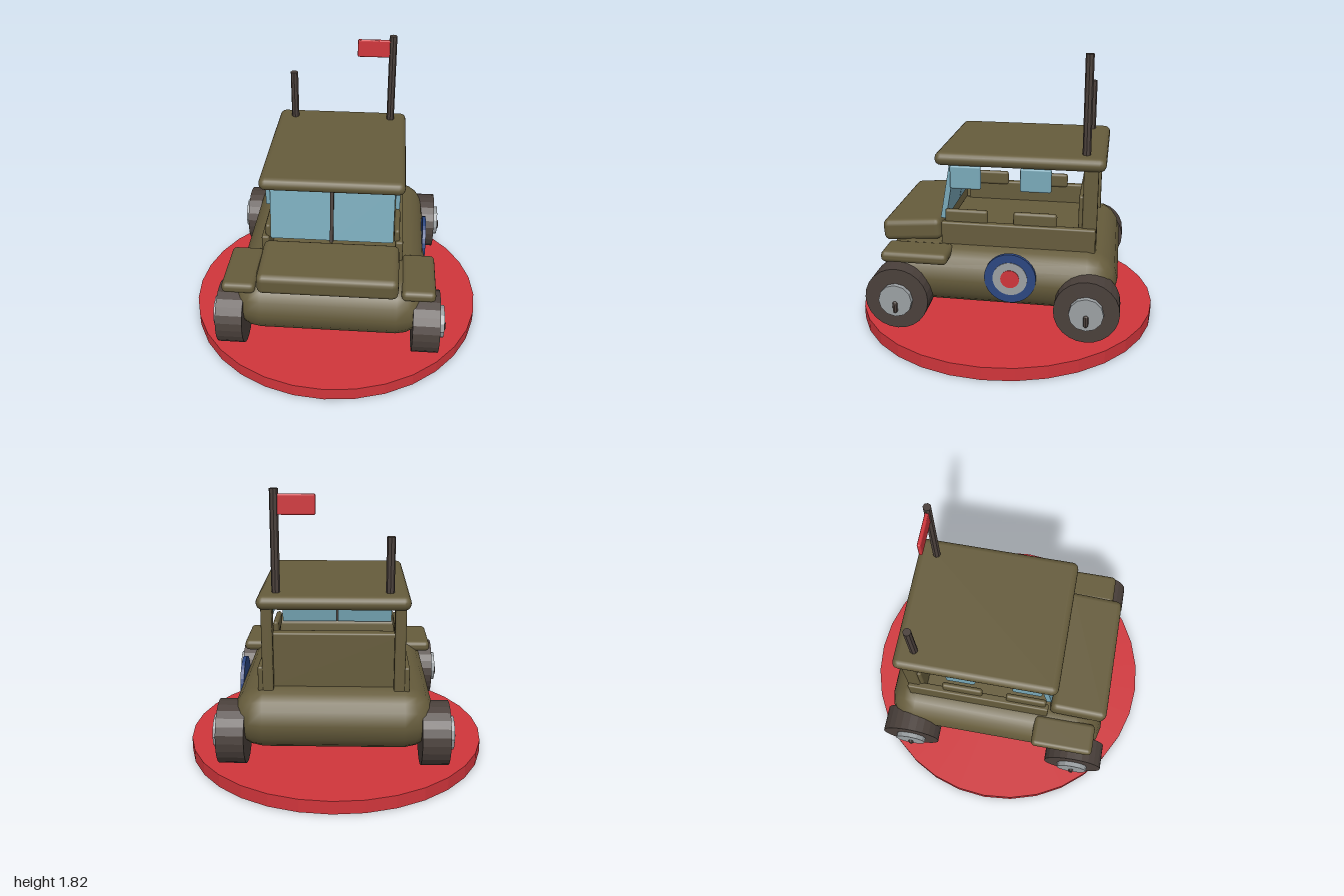
import * as THREE from 'three';
import { RoundedBoxGeometry } from 'three/addons/geometries/RoundedBoxGeometry.js';

const mat = (name, color, opts = {}) => {
  const m = new THREE.MeshStandardMaterial({ color, ...opts });
  m.name = name;
  return m;
};

export function createModel() {
  const model = new THREE.Group();
  model.name = 'toyTruck';
  const olive = mat('olive', 0x665c3c);
  const red = mat('red', 0xd0353b, { flatShading: true });
  const glass = mat('glassBlue', 0x79a9b9);
  const grey = mat('grey', 0x9ba0a3, { flatShading: true });
  const dark = mat('darkBrown', 0x4a403b, { flatShading: true });
  const navy = mat('navy', 0x2b4680, { flatShading: true });

  const add = (name, geometry, material, x, y, z, parent = model) => {
    const mesh = new THREE.Mesh(geometry, material);
    mesh.name = name;
    mesh.position.set(x, y, z);
    parent.add(mesh);
    return mesh;
  };
  // Rounded block given by its extents
  const block = (name, material, [x0, x1], [y0, y1], [z0, z1], r = 0.012, seg = 2) =>
    add(name, new RoundedBoxGeometry(x1 - x0, y1 - y0, z1 - z0, seg, r), material,
      (x0 + x1) / 2, (y0 + y1) / 2, (z0 + z1) / 2);
  // Cylinder lying along x
  const disc = (r, width, sides) => new THREE.CylinderGeometry(r, r, width, sides).rotateZ(Math.PI / 2);

  // Display base
  add('base', new THREE.CylinderGeometry(1, 1, 0.085, 32), red, 0, 0.0425, 0);

  // Body, bonnet, roof and rear panel
  block('body', olive, [-0.62, 0.62], [0.24, 0.625], [-0.76, 0.745], 0.19, 2);
  const bonnet = block('bonnet', olive, [-0.437, 0.437], [0.61, 0.752], [0.365, 0.75], 0.04);
  bonnet.rotation.x = 0.08;
  block('roof', olive, [-0.457, 0.457], [1.125, 1.21], [-0.665, 0.395], 0.042);
  block('rearPanel', olive, [-0.42, 0.42], [0.6, 0.965], [-0.575, -0.505]);

  // Parts repeated on both sides
  for (const s of [-1, 1]) {
    const side = (a, b) => (s > 0 ? [a, b] : [-b, -a]);
    block('sideWall', olive, side(0.41, 0.46), [0.6, 0.762], [-0.615, 0.355]);
    block('rearPost', olive, side(0.365, 0.432), [0.6, 1.15], [-0.62, -0.53]);
    block('frontArmrest', olive, side(0.4, 0.437), [0.74, 0.84], [0.06, 0.335], 0.018);
    block('rearArmrest', olive, side(0.4, 0.437), [0.74, 0.84], [-0.375, -0.1], 0.018);
    block('frontSideWindow', glass, side(0.398, 0.428), [0.975, 1.125], [0.105, 0.3]);
    block('rearSideWindow', glass, side(0.398, 0.428), [0.975, 1.125], [-0.335, -0.142]);
    block('fender', olive, side(0.457, 0.67), [0.553, 0.625], [0.275, 0.695], 0.03);

    // Windscreen pane
    const pane = add('windscreenPane', new THREE.BoxGeometry(0.39, 0.375, 0.035), glass, s * 0.2, 0.95, 0.322);
    pane.rotation.x = -0.17;

    // Wheels
    for (const z of [0.59, -0.585]) {
      const wheel = new THREE.Group();
      wheel.name = z > 0 ? 'frontWheel' : 'rearWheel';
      wheel.position.set(s * 0.62, 0.33, z);
      add('tyre', disc(0.2, 0.17, 24), dark, 0, 0, 0, wheel);
      add('hub', disc(0.105, 0.06, 12), grey, s * 0.087, 0, 0, wheel);
      add('hubBolt', new THREE.CapsuleGeometry(0.016, 0.046, 3, 8), dark, s * 0.118, -0.04, 0, wheel);
      model.add(wheel);
    }
  }

  // Windscreen divider
  const divider = add('windscreenDivider', new THREE.BoxGeometry(0.022, 0.375, 0.04), dark, 0, 0.95, 0.343);
  divider.rotation.x = -0.17;

  // Painted target on the left side
  add('targetOuter', disc(0.16, 0.024, 32), navy, 0.612, 0.48, -0.11);
  add('targetMiddle', disc(0.107, 0.005, 32), grey, 0.6255, 0.48, -0.11);
  add('targetCentre', disc(0.058, 0.005, 32), red, 0.6295, 0.48, -0.11);

  // Poles and flag
  for (const [name, x, top] of [['flagPole', 0.345, 1.822], ['aerial', -0.335, 1.545]]) {
    add(name, new THREE.CylinderGeometry(0.026, 0.026, top - 1.18, 8), dark, x, (top + 1.18) / 2, -0.54);
  }
  block('flag', red, [0.105, 0.335], [1.67, 1.792], [-0.553, -0.529], 0.01);

  return model;
}
